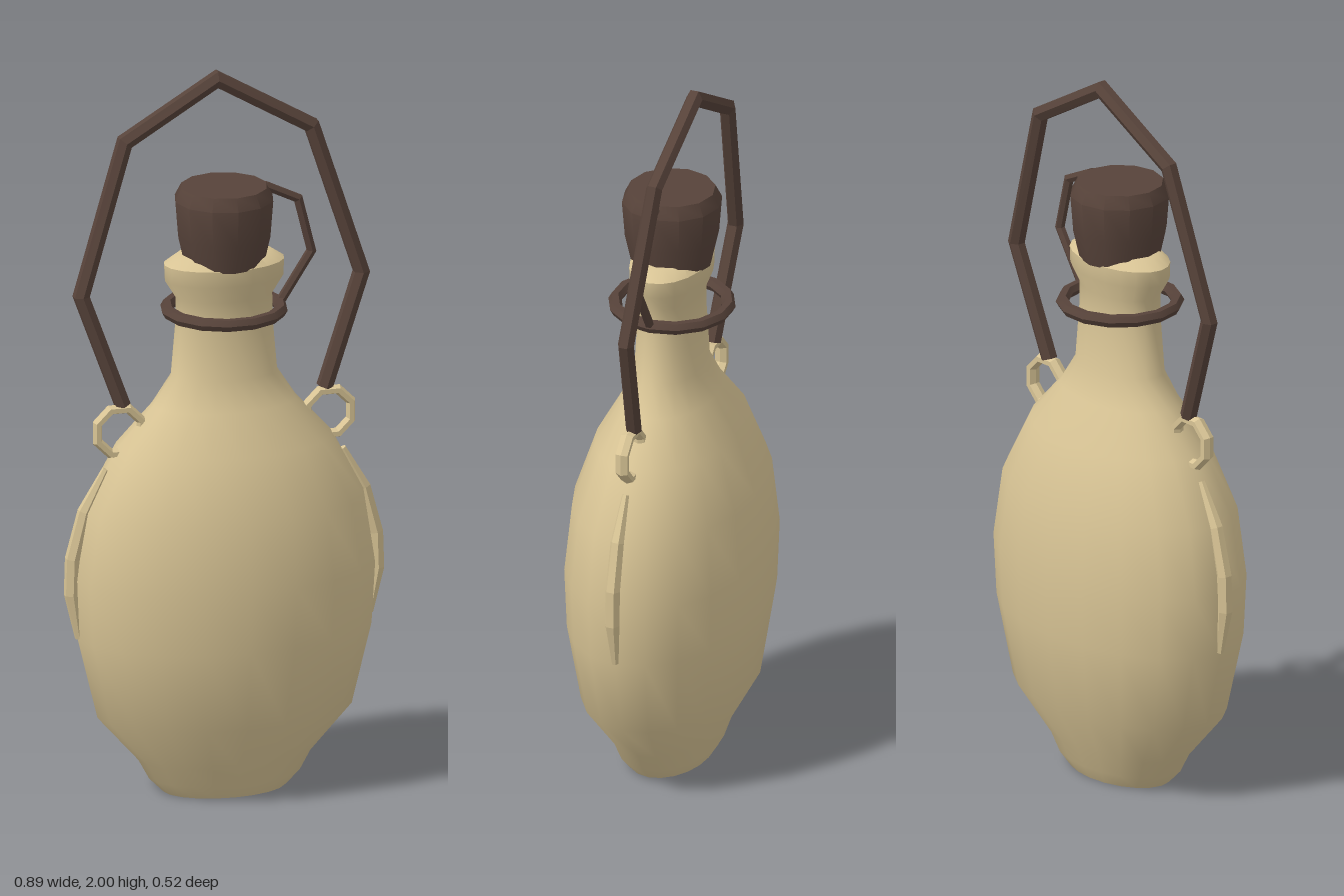
import * as THREE from 'three';
import { toCreasedNormals } from 'three/addons/utils/BufferGeometryUtils.js';

const clay = new THREE.MeshStandardMaterial({ color: 0xd8c495 });
clay.name = 'tan clay';
const leather = new THREE.MeshStandardMaterial({ color: 0x57433a });
leather.name = 'dark brown leather';

const add = (group, name, geometry, material) => {
  const mesh = new THREE.Mesh(geometry, material);
  mesh.name = name;
  group.add(mesh);
  return mesh;
};

// Faceted rod with mitred corners along points lying near the XY plane.
// Each point is [x, y, z, radius].
function rod(points, sides = 6, depth = 1) {
  const P = points.map(p => new THREE.Vector3(p[0], p[1], p[2]));
  const w = new THREE.Vector3(0, 0, 1);
  const last = P.length - 1;
  const rings = P.map((p, i) => {
    const before = P[i].clone().sub(P[Math.max(i - 1, 0)]).normalize();
    const after = P[Math.min(i + 1, last)].clone().sub(P[i]).normalize();
    const t = before.clone().add(after).normalize();
    const u = w.clone().cross(t).normalize();
    const mitre = 1 / t.dot(i < last ? after : before);
    return Array.from({ length: sides }, (_, j) => {
      const a = (j + 0.5) / sides * Math.PI * 2;
      return p.clone()
        .addScaledVector(u, Math.cos(a) * points[i][3] * mitre)
        .addScaledVector(w, Math.sin(a) * points[i][3] * depth);
    });
  });
  const tris = [];
  for (let j = 0; j < sides; j++) {
    const k = (j + 1) % sides;
    for (let i = 0; i < last; i++) {
      const a = rings[i][j], b = rings[i][k], c = rings[i + 1][k], d = rings[i + 1][j];
      tris.push(a, b, c, a, c, d);
    }
    tris.push(P[0], rings[0][k], rings[0][j], P[last], rings[last][j], rings[last][k]);
  }
  const geometry = new THREE.BufferGeometry().setFromPoints(tris);
  geometry.computeVertexNormals();
  return geometry;
}

export function createModel() {
  const model = new THREE.Group();
  model.name = 'flask';
  const flatten = 0.625;

  // Flattened bottle body, neck and lip
  const profile = [
    [0.17, 0], [0.21, 0.04], [0.24, 0.095], [0.355, 0.225], [0.41, 0.45], [0.42, 0.62],
    [0.39, 0.81], [0.3, 0.98], [0.2, 1.09], [0.148, 1.17], [0.135, 1.32], [0.134, 1.39],
    [0.165, 1.44], [0.167, 1.485], [0.13, 1.51], [0.08, 1.51],
  ].map(([r, y]) => new THREE.Vector2(r, y));
  const body = new THREE.LatheGeometry(profile, 20);
  body.scale(1, 1, flatten);
  add(model, 'bottleBody', toCreasedNormals(body, 0.75), clay);

  const base = new THREE.CircleGeometry(0.17, 20, Math.PI / 2);
  base.rotateX(Math.PI / 2);
  base.scale(1, 1, flatten);
  add(model, 'bottleBase', base, clay);

  // Stopper
  const cork = new THREE.LatheGeometry([
    [0, 1.48], [0.11, 1.48], [0.128, 1.56], [0.136, 1.66], [0.118, 1.695], [0, 1.695],
  ].map(([r, y]) => new THREE.Vector2(r, y)), 12);
  add(model, 'stopper', toCreasedNormals(cork, 0.6), leather);

  // Loose ring round the neck and the cord tying it to the stopper
  const ring = new THREE.TorusGeometry(0.155, 0.018, 6, 14);
  ring.rotateX(Math.PI / 2);
  ring.translate(0, 1.35, 0);
  add(model, 'neckRing', toCreasedNormals(ring, 0.6), leather);
  add(model, 'stopperCord', rod([
    [0.115, 1.685, 0, 0.013], [0.208, 1.64, 0, 0.013],
    [0.245, 1.49, 0, 0.013], [0.155, 1.35, 0, 0.013],
  ]), leather);

  // Carrying handle, leaning slightly back
  const half = [[0.283, 1.1], [0.393, 1.41], [0.262, 1.825]];
  const path = [
    ...half.map(([x, y]) => [-x, y]), [0, 1.976], ...half.map(([x, y]) => [x, y]).reverse(),
  ];
  add(model, 'carryHandle', rod(
    path.map(([x, y]) => [x, y, -0.004 - 0.07 * (y - 1.1), 0.023])), leather);

  // Handle loops and raised side ridges
  for (const [side, s] of [['left', 1], ['right', -1]]) {
    const loop = new THREE.TorusGeometry(0.066, 0.014, 6, 8);
    loop.rotateZ(Math.PI / 8);
    loop.scale(1, 1, 1.4);
    loop.translate(s * 0.294, 1.03, 0);
    add(model, side + 'HandleLoop', toCreasedNormals(loop, 0.5), clay);

    add(model, side + 'SideRidge', rod([
      [s * 0.332, 0.925, 0, 0.01], [s * 0.392, 0.81, 0, 0.019], [s * 0.425, 0.68, 0, 0.021],
      [s * 0.428, 0.58, 0, 0.021], [s * 0.408, 0.455, 0, 0.01],
    ]), clay);
  }
  return model;
}
